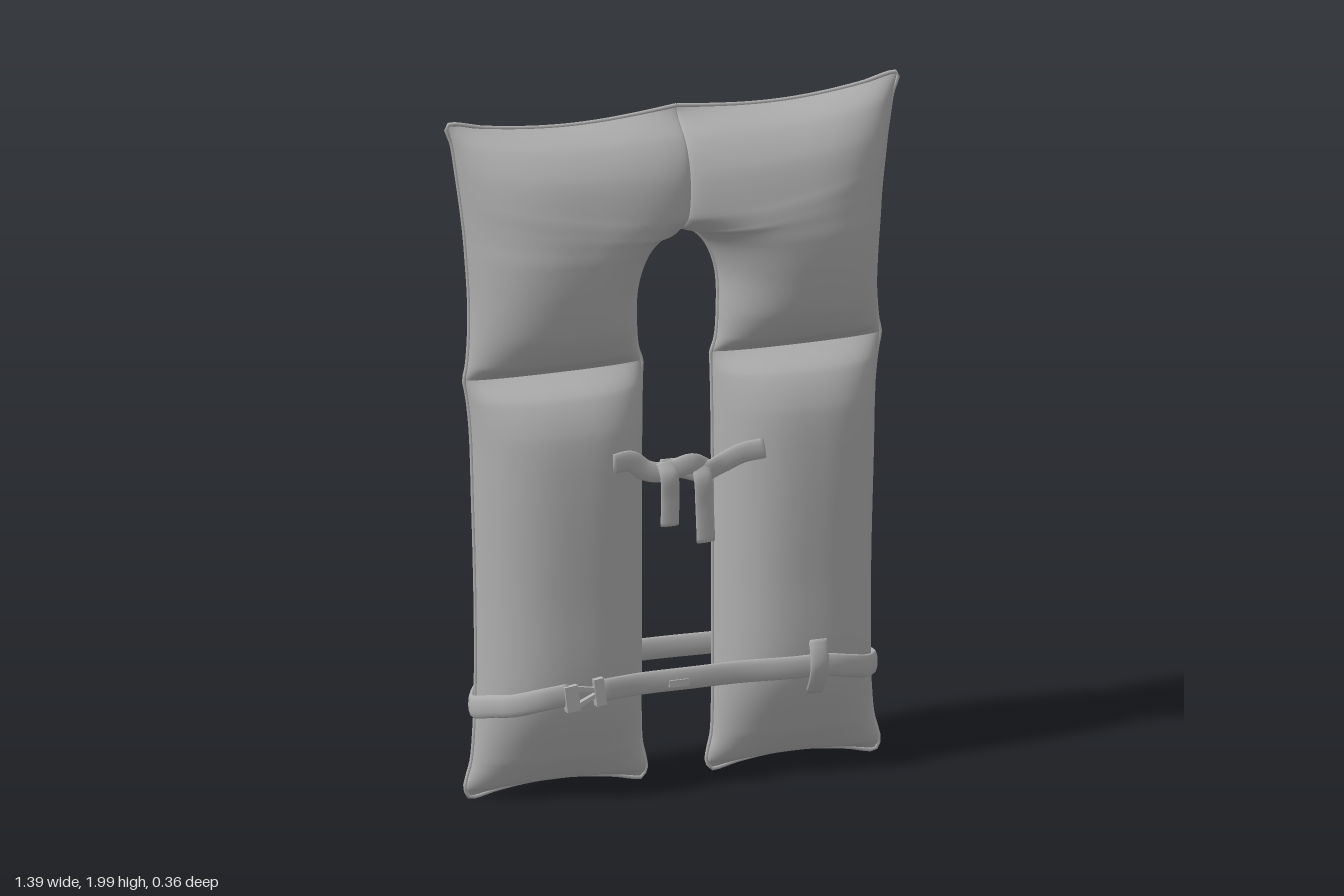
import * as THREE from 'three';
import { mergeVertices } from 'three/addons/utils/BufferGeometryUtils.js';

const V = (x, y, z = 0) => new THREE.Vector3(x, y, z);
const SEAM = -0.015; // z of the edge seam

// Rows run upwards: [inner x, inner y, outer x, outer y, depth, centre-seam depth ratio]
const LOWER = [
  [0.105, 0.014, 0.618, 0.014, 0, 0], [0.092, 0.04, 0.632, 0.04, 0.035, 0],
  [0.108, 0.12, 0.612, 0.12, 0.085, 0], [0.112, 0.3, 0.6, 0.3, 0.148, 0],
  [0.112, 0.6, 0.6, 0.6, 0.155, 0], [0.112, 0.9, 0.608, 0.9, 0.155, 0],
  [0.11, 1.08, 0.614, 1.08, 0.142, 0], [0.108, 1.18, 0.624, 1.18, 0.1, 0],
  [0.106, 1.24, 0.635, 1.24, 0.025, 0],
];
const UPPER = [
  [0.106, 1.24, 0.635, 1.24, 0.025, 0], [0.12, 1.28, 0.627, 1.28, 0.085, 0],
  [0.126, 1.36, 0.62, 1.37, 0.135, 0], [0.122, 1.48, 0.62, 1.48, 0.162, 0],
  [0.088, 1.568, 0.628, 1.6, 0.174, 0], [0.042, 1.61, 0.633, 1.66, 0.174, 0],
  [0, 1.62, 0.64, 1.72, 0.172, 0], [0, 1.67, 0.648, 1.78, 0.163, 0.5],
  [0, 1.8, 0.66, 1.86, 0.135, 0.7], [0, 1.9, 0.672, 1.935, 0.08, 0.65],
  [0, 1.975, 0.688, 1.994, 0, 0],
];

// Rectangular sheet of smooth quads from a point function
function grid(nu, nv, f, flip = false) {
  const pos = [], index = [];
  for (let j = 0; j <= nv; j++)
    for (let i = 0; i <= nu; i++) pos.push(...f(i / nu, j / nv).toArray());
  for (let j = 0; j < nv; j++)
    for (let i = 0; i < nu; i++) {
      const a = j * (nu + 1) + i, b = a + 1, c = a + nu + 1, d = c + 1;
      if (flip) index.push(a, d, b, a, c, d);
      else index.push(a, b, d, a, d, c);
    }
  let g = new THREE.BufferGeometry();
  g.setAttribute('position', new THREE.Float32BufferAttribute(pos, 3));
  g.setIndex(index);
  g = mergeVertices(g, 1e-5);
  g.computeVertexNormals();
  return g;
}

const bulge = s => Math.pow(Math.max(0, 1 - Math.pow(Math.abs(s), 2.6)), 0.6);
const faceDepth = face => (face > 0 ? 1.1 : 0.88);

// Point function of a padded panel: u runs inner to outer, v runs upwards
function panelSurface(rows, side, isUpper) {
  const curve = (k, type) => new THREE.CatmullRomCurve3(rows.map(r => V(r[k], r[k + 1])), false, type);
  const inner = curve(0, 'centripetal'), outer = curve(2, 'centripetal'), depth = curve(4, 'catmullrom');
  return (u, v, face) => {
    const p = inner.getPoint(v).lerp(outer.getPoint(v), u);
    const d = depth.getPoint(v);
    const sag = Math.sin(Math.PI * u) * 0.03;
    p.y += isUpper ? -sag * v ** 8 : sag * (1 - v) ** 8;
    const seam = u < 0.5 ? Math.max(0, d.y) : 0;
    const t = seam + (1 - seam) * bulge(2 * u - 1);
    // the centre line leans slightly to the left
    const mid = 0.005 + 0.013 * (1 - u);
    return V(mid + side * Math.max(0, p.x), p.y, SEAM + face * Math.max(0, d.x) * t * faceDepth(face));
  };
}

// Flat band swept along points; "across" is the direction of its width
function strap(points, width, thick, across, segs = 24) {
  const curve = new THREE.CatmullRomCurve3(points);
  const n = segs + 2;
  return grid(12, n, (u, v) => {
    const row = Math.round(v * n);
    const t = THREE.MathUtils.clamp((row - 1) / segs, 0, 1);
    const k = row === 0 || row === n ? 0 : 0.5;
    const tan = curve.getTangent(t);
    const w = across.clone().addScaledVector(tan, -tan.dot(across)).normalize();
    const nor = tan.clone().cross(w);
    const a = u * Math.PI * 2;
    return curve.getPoint(t).addScaledVector(w, Math.cos(a) * width * k)
      .addScaledVector(nor, Math.sin(a) * thick * k);
  });
}

// Belt point resting on the lower panels
function beltPoint(x, face) {
  const s = (Math.abs(x - 0.01) - 0.356) / 0.246;
  let z = 0.15 * faceDepth(face) * bulge(Math.min(1, Math.abs(s)));
  if (Math.abs(x) < 0.36) z = Math.max(z, face > 0 ? 0.142 : 0.12 + 0.035 * Math.cos(x * 4));
  const y = 0.335 - 0.045 * THREE.MathUtils.smoothstep(Math.abs(x), 0.38, 0.62);
  return V(x, y, SEAM + face * (z + 0.006));
}

export function createModel() {
  const root = new THREE.Group();
  const grey = new THREE.MeshStandardMaterial({ color: 0xb0b0b0 });
  grey.name = 'grey fabric';
  const add = (name, geo, parent = root) => {
    const m = new THREE.Mesh(geo, grey);
    m.name = name;
    parent.add(m);
    return m;
  };
  const X = V(1, 0, 0), Y = V(0, 1, 0);

  // Padded halves with piping along the edge seam
  for (const side of [1, -1]) {
    const half = new THREE.Group();
    half.name = side > 0 ? 'leftHalf' : 'rightHalf';
    root.add(half);
    const low = panelSurface(LOWER, side, false), up = panelSurface(UPPER, side, true);
    for (const face of [1, -1]) {
      const label = face > 0 ? 'Front' : 'Back';
      // ease u so the quads crowd towards the edges
      const sheet = f => grid(36, 80, (u, v) => f((1 - Math.cos(Math.PI * u)) / 2, v, face), side * face < 0);
      add('lowerPad' + label, sheet(low), half);
      add('collarPad' + label, sheet(up), half);
    }
    const edge = [];
    for (let i = 0; i <= 12; i++) edge.push(up(0, 0.6 * (1 - i / 12), 1));
    for (let i = 1; i <= 16; i++) edge.push(low(0, 1 - i / 16, 1));
    for (let i = 1; i <= 6; i++) edge.push(low(i / 6, 0, 1));
    for (let i = 1; i <= 16; i++) edge.push(low(1, i / 16, 1));
    for (let i = 1; i <= 10; i++) edge.push(up(1, i / 10, 1));
    for (let i = 1; i <= 6; i++) edge.push(up(1 - i / 6, 1, 1));
    edge.forEach(p => { p.z = SEAM; });
    add('piping', new THREE.TubeGeometry(new THREE.CatmullRomCurve3(edge), 260, 0.006, 6), half);
  }

  // Waist belt: front, round the left side, across the back, round to the buckle
  const path = [-0.28, -0.15, 0, 0.15, 0.3, 0.4, 0.48, 0.55, 0.59].map(x => beltPoint(x, 1));
  path.push(V(0.614, 0.28, SEAM));
  path.push(...[0.59, 0.55, 0.45, 0.34, 0.2, 0, -0.2, -0.34, -0.44, -0.53, -0.57].map(x => beltPoint(x, -1)));
  path.push(V(-0.604, 0.28, SEAM));
  path.push(...[-0.57, -0.53, -0.46, -0.38].map(x => beltPoint(x, 1)));
  add('waistBelt', strap(path, 0.066, 0.02, Y, 160));
  const slider = add('beltSlider', new THREE.BoxGeometry(0.06, 0.02, 0.012));
  slider.position.set(-0.04, 0.327, 0.142);

  // Side-release buckle
  const buckle = new THREE.Group();
  buckle.name = 'buckle';
  buckle.position.set(-0.33, 0.33, 0.158);
  buckle.rotation.z = 0.12;
  root.add(buckle);
  for (const [name, x, w, h] of [['buckleClip', -0.045, 0.04, 0.075], ['buckleSocket', 0.04, 0.03, 0.08]])
    add(name, new THREE.BoxGeometry(w, h, 0.025), buckle).position.x = x;
  for (const s of [1, -1]) {
    const prong = add('buckleProng', new THREE.BoxGeometry(0.06, 0.013, 0.016), buckle);
    prong.position.set(0, s * 0.017, 0);
    prong.rotation.z = -s * 0.3;
  }

  // Belt loops, one in front and two behind
  const loop = (name, x, f, zs) => add(name, strap(
    [0.25, 0.29, 0.335, 0.375, 0.41].map((y, i) => V(x, y, f * zs[i])), 0.056, 0.016, X, 14));
  loop('frontBeltLoop', 0.38, 1, [0.13, 0.154, 0.168, 0.164, 0.152]);
  loop('backBeltLoop', 0.36, -1, [0.125, 0.155, 0.168, 0.164, 0.148]);
  loop('backBeltLoop', -0.36, -1, [0.125, 0.155, 0.168, 0.164, 0.148]);

  // Chest tie: two ribbons, a knot and hanging tails
  add('rightTie', strap([V(-0.24, 0.99, 0.138), V(-0.18, 0.99, 0.125), V(-0.13, 0.955, 0.12),
    V(-0.07, 0.945, 0.125), V(0, 0.965, 0.135), V(0.05, 0.94, 0.125)], 0.06, 0.018, Y, 30));
  add('leftTie', strap([V(0.225, 0.985, 0.135), V(0.16, 0.975, 0.125), V(0.1, 0.95, 0.12),
    V(0.04, 0.935, 0.13), V(-0.02, 0.95, 0.12), V(-0.09, 0.955, 0.125)], 0.06, 0.018, Y, 30));
  add('rightTail', strap([V(-0.075, 0.975, 0.125), V(-0.07, 0.94, 0.145), V(-0.065, 0.87, 0.14),
    V(-0.065, 0.79, 0.135)], 0.056, 0.016, X));
  add('leftTail', strap([V(0.03, 0.96, 0.125), V(0.033, 0.92, 0.145), V(0.04, 0.83, 0.14),
    V(0.046, 0.73, 0.135)], 0.056, 0.016, X));
  return root;
}
